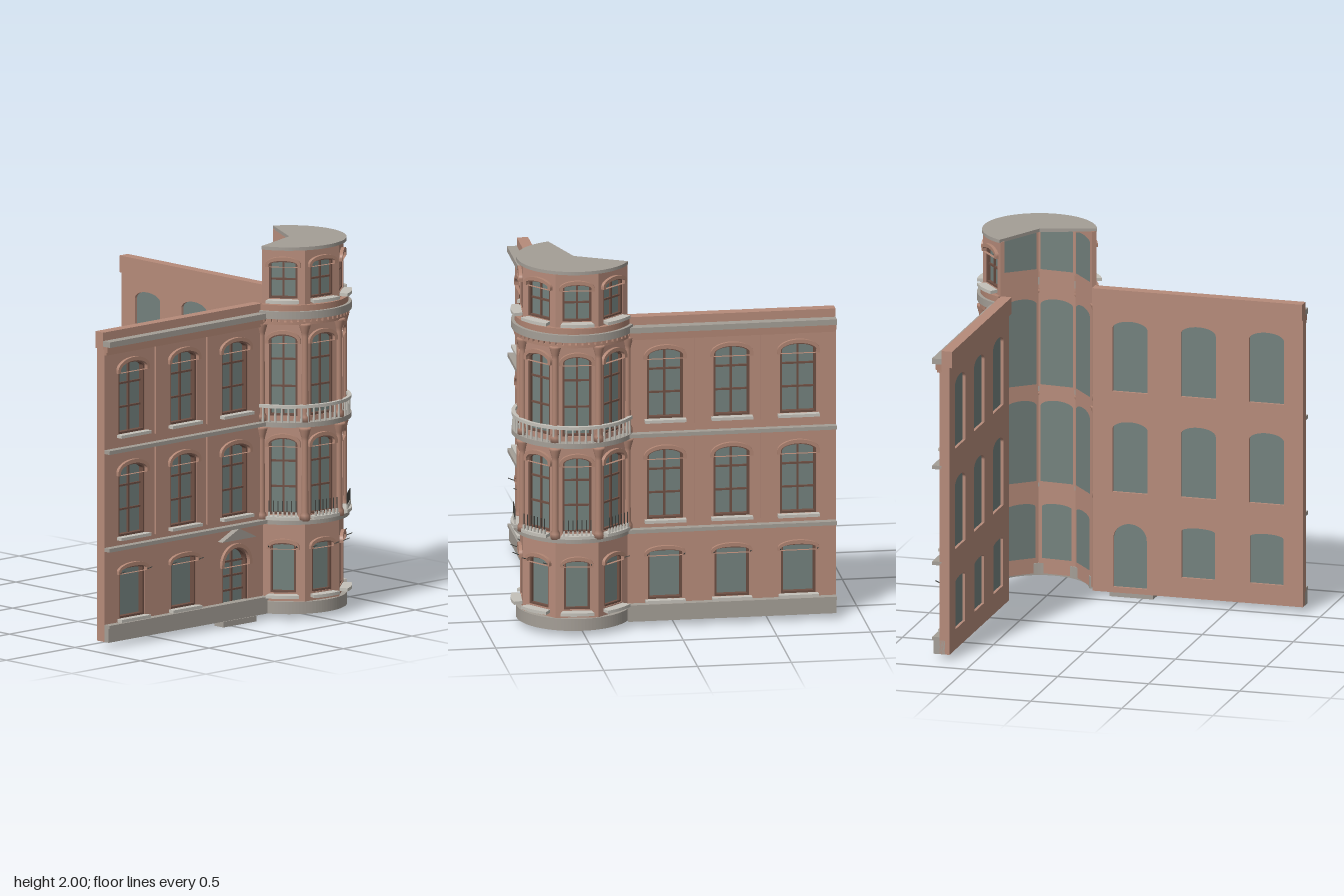
import * as THREE from 'three';

const paint = (name, color, double) => {
  const m = new THREE.MeshStandardMaterial({ color });
  m.name = name;
  if (double) m.side = THREE.DoubleSide;
  return m;
};
const brick = paint('brick', 0xb68b7a);
const trim = paint('brick trim', 0xb08573);
const stone = paint('stone', 0xa49e96);
const pale = paint('pale stone', 0xc4c1b9);
const glass = paint('glass', 0x73817d, true);
const frameMat = paint('window frame', 0x6f5044);
const iron = paint('iron', 0x42433f);

const CX = 0.545, CZ = 0.515;            // turret centre
const APOTHEM = 0.276, STEP = Math.PI / 4;
const A0 = THREE.MathUtils.degToRad(-62.5), A1 = A0 + 5 * STEP;

function add(parent, name, geo, mat, x = 0, y = 0, z = 0) {
  const m = new THREE.Mesh(geo, mat);
  m.name = name;
  m.position.set(x, y, z);
  parent.add(m);
  return m;
}

// box given by its x, y and z ranges
function box(parent, name, mat, x0, x1, y0, y1, z0, z1) {
  return add(parent, name, new THREE.BoxGeometry(x1 - x0, y1 - y0, z1 - z0), mat,
    (x0 + x1) / 2, (y0 + y1) / 2, (z0 + z1) / 2);
}

const extrude = (shape, depth) =>
  new THREE.ExtrudeGeometry(shape, { depth, bevelEnabled: false, curveSegments: 12 });

// outline with an elliptical head; works for Shape and Path
function arched(Type, x, w, y0, y1, rise) {
  const p = new Type();
  p.moveTo(x - w, y0);
  p.lineTo(x + w, y0);
  p.lineTo(x + w, y1);
  p.absellipse(x, y1, w, rise, 0, Math.PI, false);
  p.lineTo(x - w, y0);
  return p;
}

// wall plate with openings; outer face at z = 0
function wall(parent, name, x0, x1, y0, y1, thick, openings) {
  const s = new THREE.Shape([[x0, y0], [x1, y0], [x1, y1], [x0, y1]].map(p => new THREE.Vector2(...p)));
  for (const o of openings) s.holes.push(arched(THREE.Path, o.x, o.w, o.y0, o.y1, o.rise));
  add(parent, name, extrude(s, thick), brick, 0, 0, -thick);
}

// glass, frame, glazing bars, hood, sill and awning arms of one opening;
// lap widens a pane that sits behind the wall
function dressWindow(parent, o, depth, lap = 0) {
  const { x, w, y0, y1, rise } = o, g = new THREE.Group();
  g.name = o.door ? 'door' : 'window';
  parent.add(g);
  add(g, 'pane', new THREE.ShapeGeometry(arched(THREE.Shape, x, w + lap, y0 - lap, y1 + lap, rise), 12),
    glass, 0, 0, -depth);
  const f = 0.011, back = -depth + 0.005, ring = arched(THREE.Shape, x, w, y0, y1, rise);
  ring.holes.push(arched(THREE.Path, x, w - f, y0 + f, y1, Math.max(rise - f, 0.004)));
  add(g, 'frame', extrude(ring, depth - 0.01), frameMat, 0, 0, back);
  if (o.bars) {
    const top = y1 + rise;
    box(g, 'glazingBar', frameMat, x - 0.005, x + 0.005, y0, top - 0.003, back, back + 0.01);
    for (const t of o.bars) {
      const y = y0 + (top - y0) * t;
      box(g, 'glazingBar', frameMat, x - w, x + w, y - 0.005, y + 0.005, back, back + 0.01);
    }
  }
  const hood = arched(THREE.Shape, x, w + 0.018, y1 - 0.015, y1, rise + 0.02);
  hood.holes.push(arched(THREE.Path, x, w, y1 - 0.0149, y1, rise));
  add(g, 'hood', extrude(hood, 0.018), trim);
  if (o.sill) box(g, 'sill', pale, x - w - 0.014, x + w + 0.014, y0 - 0.016, y0, -0.02, o.sill);
  if (o.arms) for (const s of [-1, 1]) {
    const arm = box(g, 'awningArm', iron, -0.002, 0.002, -0.002, 0.002, 0, 0.056);
    arm.position.set(x + s * (w + 0.006), 0.39, 0.026);
    arm.rotation.x = -0.4;
  }
}

// straight street wall running from x0 to x1
function facade(name, x0, x1, centres, strips, doorAt) {
  const g = new THREE.Group(), openings = [];
  g.name = name;
  centres.forEach((x, i) => {
    openings.push(i === doorAt
      ? { x, w: 0.092, y0: 0.06, y1: 0.325, rise: 0.085, bars: [0.34, 0.56, 0.78], door: true }
      : { x, w: 0.092, y0: 0.14, y1: 0.395, rise: 0.02, arms: true, sill: 0.035 });
    for (const y0 of [0.58, 1.13])
      openings.push({ x, w: 0.096, y0, y1: y0 + 0.345, rise: 0.042, bars: [0.36, 0.69], sill: 0.035 });
  });
  wall(g, 'wall', x0, x1, 0.03, 1.6, 0.055, openings);
  openings.forEach(o => dressWindow(g, o, 0.04));
  // horizontal courses
  box(g, 'plinth', stone, x0, x1, 0.03, 0.105, -0.03, 0.032);
  box(g, 'plinthLedge', stone, x0, x1, 0.105, 0.122, -0.01, 0.04);
  for (const y of [0.515, 1.04]) box(g, 'stringCourse', stone, x0, x1, y, y + 0.02, -0.01, 0.04);
  box(g, 'moulding', trim, x0, x1, 1.57, 1.585, -0.01, 0.014);
  box(g, 'corniceBed', trim, x0, x1, 1.585, 1.615, -0.01, 0.022);
  box(g, 'cornice', stone, x0, x1, 1.615, 1.645, -0.01, 0.042);
  box(g, 'parapet', brick, x0, x1, 1.6, 1.69, -0.07, -0.01);
  for (const x of strips) for (const [a, b] of [[0.56, 1.035], [1.1, 1.585]])
    box(g, 'pilasterStrip', brick, x - 0.02, x + 0.02, a, b, -0.005, 0.01);
  return g;
}

// curved course around the turret, or a sector when r0 is 0
function arcCourse(parent, name, mat, r0, r1, y0, y1, a0 = A0, a1 = A1) {
  const s = new THREE.Shape();
  s.moveTo(r0 * Math.cos(a0), r0 * Math.sin(a0));
  s.lineTo(r1 * Math.cos(a0), r1 * Math.sin(a0));
  s.absarc(0, 0, r1, a0, a1, false);
  if (r0 > 0) s.absarc(0, 0, r0, a1, a0, true);
  else s.lineTo(0, 0);
  const geo = new THREE.ExtrudeGeometry(s, { depth: y1 - y0, bevelEnabled: false, curveSegments: 32 });
  geo.rotateX(Math.PI / 2);
  add(parent, name, geo, mat, 0, y1, 0);
}

function turret() {
  const g = new THREE.Group();
  g.name = 'cornerTurret';
  g.position.set(CX, 0, CZ);
  const half = APOTHEM * Math.tan(STEP / 2);
  const openings = [
    { x: 0, w: 0.068, y0: 0.14, y1: 0.39, rise: 0.02, arms: true },
    { x: 0, w: 0.076, y0: 0.56, y1: 0.94, rise: 0.035, bars: [0.36, 0.69] },
    { x: 0, w: 0.076, y0: 1.09, y1: 1.495, rise: 0.035, bars: [0.36, 0.69] },
    { x: 0, w: 0.076, y0: 1.72, y1: 1.905, rise: 0.02, bars: [0.5] },
  ];
  // five flat sides
  for (let i = 0; i < 5; i++) {
    const a = A0 + (i + 0.5) * STEP, side = new THREE.Group();
    side.name = 'turretSide';
    side.position.set(APOTHEM * Math.cos(a), 0, APOTHEM * Math.sin(a));
    side.rotation.y = Math.PI / 2 - a;
    g.add(side);
    wall(side, 'turretWall', -half, half, 0.04, 1.985, 0.025, openings);
    openings.forEach(o => dressWindow(side, o, 0.027, 0.016));
    // iron window guard on short stone posts
    for (let k = -3; k <= 3; k++) {
      box(side, 'guardBar', iron, k * 0.024 - 0.002, k * 0.024 + 0.002, 0.58, 0.64, 0.036, 0.04);
      box(side, 'guardPost', pale, k * 0.024 - 0.005, k * 0.024 + 0.005, 0.545, 0.58, 0.033, 0.043);
    }
    // curved sills
    for (const y of [0.116, 0.538, 1.7]) arcCourse(g, 'turretSill', pale, 0.265, 0.332, y, y + 0.017, a - 0.27, a + 0.27);
  }
  // columns at the corners
  const profile = (y0, y1) => [[0, y0], [0.026, y0], [0.026, y0 + 0.03], [0.018, y0 + 0.045],
    [0.016, y1 - 0.07], [0.02, y1 - 0.05], [0.031, y1 - 0.012], [0.031, y1], [0, y1]]
    .map(p => new THREE.Vector2(...p));
  for (let i = 0; i <= 5; i++) {
    const a = A0 + i * STEP, r = 0.3;
    for (const [y0, y1] of [[0.53, 1.03], [1.06, 1.59]])
      add(g, 'column', new THREE.LatheGeometry(profile(y0, y1), 14), trim, r * Math.cos(a), 0, r * Math.sin(a));
  }
  // balcony balusters and dentils
  for (let i = 0; i < 36; i++) {
    const a = A0 + (i + 0.5) / 36 * (A1 - A0), c = Math.cos(a), s = Math.sin(a);
    add(g, 'baluster', new THREE.CylinderGeometry(0.005, 0.007, 0.08, 6), pale, 0.318 * c, 1.1, 0.318 * s);
    add(g, 'dentil', new THREE.BoxGeometry(0.014, 0.02, 0.022), trim, 0.312 * c, 1.608, 0.312 * s).rotation.y = -a;
  }
  arcCourse(g, 'turretPlinth', stone, 0.262, 0.305, 0.03, 0.095);
  arcCourse(g, 'firstCourse', stone, 0.27, 0.318, 0.512, 0.534);
  arcCourse(g, 'balconySlab', stone, 0.27, 0.328, 1.036, 1.062);
  arcCourse(g, 'balconyRail', pale, 0.308, 0.328, 1.138, 1.155);
  arcCourse(g, 'frieze', trim, 0.27, 0.315, 1.585, 1.6);
  arcCourse(g, 'turretCornice', stone, 0.27, 0.33, 1.618, 1.658);
  arcCourse(g, 'corniceTop', trim, 0.27, 0.312, 1.658, 1.69);
  arcCourse(g, 'roof', stone, 0, 0.303, 1.982, 2);
  return g;
}

export function createModel() {
  const model = new THREE.Group();
  model.name = 'cornerBuilding';

  const front = facade('frontWall', -0.89, 0.265, [-0.69, -0.315, 0.06], [-0.505, -0.13], 2);
  front.position.z = 0.61;
  // pediment and step at the door
  const gable = new THREE.Shape([[-0.065, 0.455], [0.185, 0.455], [0.06, 0.515]].map(p => new THREE.Vector2(...p)));
  add(front, 'doorPediment', extrude(gable, 0.035), stone);
  box(front, 'doorStep', stone, -0.06, 0.18, 0, 0.03, -0.03, 0.038);
  model.add(front);

  const right = facade('sideWall', -0.25, 0.86, [-0.05, 0.305, 0.66], [0.125, 0.48], -1);
  right.rotation.y = Math.PI / 2;
  right.position.x = 0.69;
  model.add(right);

  model.add(turret());
  return model;
}
